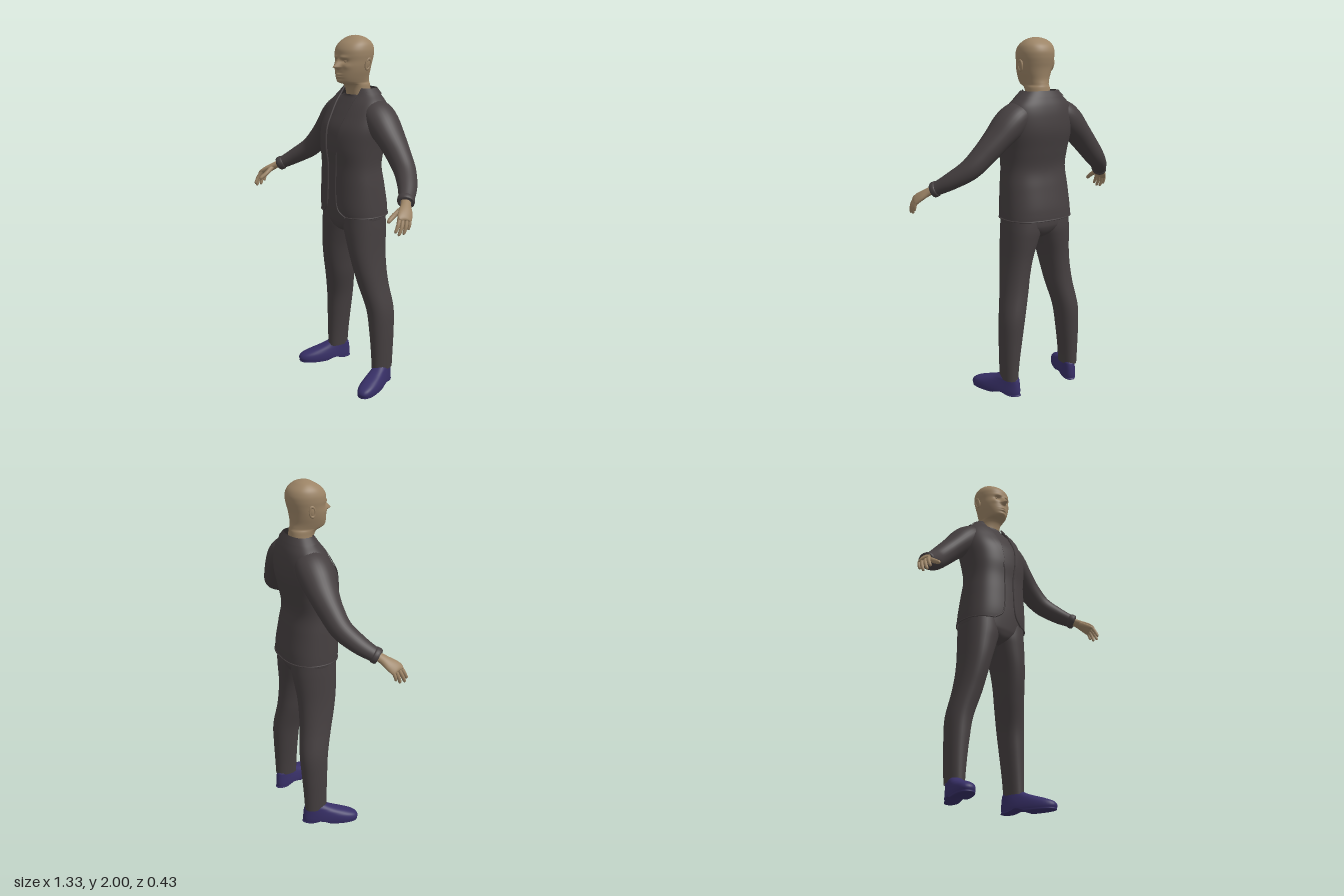
import * as THREE from 'three';

const skin = new THREE.MeshStandardMaterial({ color: 0x9c8466 });
skin.name = 'skin';
const cloth = new THREE.MeshStandardMaterial({ color: 0x453f40, side: THREE.DoubleSide });
cloth.name = 'charcoalCloth';
const leather = new THREE.MeshStandardMaterial({ color: 0x372f66, side: THREE.DoubleSide });
leather.name = 'purpleLeather';

// Smooth interpolation through rows of numbers, v from 0 to 1
function sample(rows, v) {
  const n = rows.length - 1;
  const f = THREE.MathUtils.clamp(v, 0, 1) * n;
  const i = Math.min(Math.floor(f), n - 1), t = f - i;
  const a = rows[Math.max(i - 1, 0)], b = rows[i], c = rows[i + 1], d = rows[Math.min(i + 2, n)];
  return b.map((q, k) => q + 0.5 * t * (c[k] - a[k] + t * (2 * a[k] - 5 * q + 4 * c[k] - d[k]
    + t * (3 * (q - c[k]) + d[k] - a[k]))));
}

// Surface from a point rule; u runs round, v runs along
function surface(nu, nv, closed, point) {
  const pos = [], idx = [], cols = closed ? nu : nu + 1;
  for (let j = 0; j <= nv; j++)
    for (let i = 0; i < cols; i++) pos.push(...point(i / nu, j / nv));
  for (let j = 0; j < nv; j++)
    for (let i = 0; i < nu; i++) {
      const k = (i + 1) % cols;
      const a = j * cols + i, b = j * cols + k, c = b + cols, d = a + cols;
      idx.push(a, b, c, a, c, d);
    }
  const g = new THREE.BufferGeometry();
  g.setAttribute('position', new THREE.Float32BufferAttribute(pos, 3));
  g.setIndex(idx);
  g.computeVertexNormals();
  return g;
}

// Level cross-section from a row [y, xCentre, xRadius, zFront, zBack]; angle 0 is the front
const power = (s, p) => Math.sign(s) * Math.abs(s) ** (2 / p);
function ringPoint(r, angle, p, off = 0) {
  return [r[1] + (Math.max(r[2], 0.001) + off) * power(Math.sin(angle), p), r[0],
    (r[3] + r[4]) / 2 + (Math.max(r[3] - r[4], 0.002) / 2 + off) * power(Math.cos(angle), p)];
}
const rings = (rows, p, nu, nv, off = 0, deform = (q) => q) =>
  surface(nu, nv, true, (u, v) => deform(ringPoint(sample(rows, v), u * Math.PI * 2, p, off)));

// Limb along a path of rows [x, y, z, radiusAcross, radiusTowardsFront]
function limb(rows, nu, nv, roundTip = false) {
  return surface(nu, nv, true, (u, v) => {
    const r = sample(rows, v);
    const T = new THREE.Vector3(...sample(rows, v + 0.01)).sub(new THREE.Vector3(...sample(rows, v - 0.01))).normalize();
    const B = new THREE.Vector3(0, 0, 1).addScaledVector(T, -T.z).normalize();
    const N = B.clone().cross(T);
    const k = roundTip ? Math.sqrt(Math.max(0.0005, 1 - Math.max(0, (v - 0.8) / 0.2) ** 2)) : 1;
    const a = u * Math.PI * 2;
    return new THREE.Vector3(r[0], r[1], r[2]).addScaledVector(N, Math.cos(a) * r[3] * k)
      .addScaledVector(B, Math.sin(a) * r[4] * k).toArray();
  });
}

function mirrored(geometry) {
  const g = geometry.clone();
  g.scale(-1, 1, 1);
  const ix = g.index.array;
  for (let i = 0; i < ix.length; i += 3) [ix[i], ix[i + 1]] = [ix[i + 1], ix[i]];
  g.computeVertexNormals();
  return g;
}

export function createModel() {
  const model = new THREE.Group();
  model.name = 'standingMan';
  const add = (name, geometry, material) => {
    const m = new THREE.Mesh(geometry, material);
    m.name = name;
    model.add(m);
  };
  const pair = (name, geometry, material) => {
    add(name + 'Left', geometry, material);
    add(name + 'Right', mirrored(geometry), material);
  };

  // Head and neck, with the face shaped by soft bumps
  const bump = (d, w) => Math.exp(-((d / w) ** 2));
  const face = ([x, y, z]) => {
    if (z > -0.03 && y > 1.74) {
      const ax = Math.abs(x);
      const nose = y > 1.836 ? THREE.MathUtils.clamp((1.885 - y) / 0.049, 0, 1)
        : THREE.MathUtils.clamp((y - 1.82) / 0.016, 0, 1);
      z += 0.04 * nose * bump(x, 0.009 + 0.006 * nose);
      z += 0.007 * bump(y - 1.887, 0.009) * bump(ax - 0.032, 0.025);
      z -= 0.013 * bump(y - 1.867, 0.011) * bump(ax - 0.033, 0.017);
      z += 0.005 * bump(y - 1.84, 0.015) * bump(ax - 0.055, 0.018);
      z += 0.008 * (bump(y - 1.796, 0.005) + bump(y - 1.783, 0.005)) * bump(x, 0.022);
      z += 0.006 * bump(y - 1.761, 0.009) * bump(x, 0.025);
    }
    return [x, y, z];
  };
  add('headAndNeck', rings([
    [1.63, 0, 0.078, -0.03, -0.155], [1.70, 0, 0.066, -0.018, -0.152], [1.735, 0, 0.065, 0.0, -0.15],
    [1.748, 0, 0.064, 0.033, -0.147], [1.758, 0, 0.067, 0.047, -0.145], [1.78, 0, 0.075, 0.053, -0.142],
    [1.81, 0, 0.085, 0.054, -0.145], [1.84, 0, 0.092, 0.052, -0.15], [1.87, 0, 0.096, 0.049, -0.158],
    [1.9, 0, 0.1, 0.05, -0.164], [1.93, 0, 0.099, 0.045, -0.164], [1.96, 0, 0.088, 0.023, -0.15],
    [1.985, 0, 0.062, -0.015, -0.118], [1.996, 0, 0.03, -0.04, -0.09], [2.0, 0, 0.002, -0.064, -0.068],
  ], 2.15, 96, 112, 0, face), skin);
  pair('eye', new THREE.SphereGeometry(0.012, 16, 10).scale(1.15, 0.65, 1).translate(0.033, 1.866, 0.026), skin);
  const placeEar = (g) => g.rotateX(-0.2).rotateZ(-0.12).translate(0.099, 1.852, -0.068);
  pair('ear', placeEar(new THREE.SphereGeometry(1, 16, 12).scale(0.008, 0.031, 0.018)), skin);
  pair('earRim', placeEar(new THREE.TorusGeometry(0.016, 0.0045, 8, 24).rotateY(Math.PI / 2)
    .scale(1, 1.75, 1).translate(0.005, 0, 0)), skin);

  // Jacket body, open at the front; the last number is the half width of the opening
  const jacket = [
    [1.02, 0, 0.206, 0.098, -0.216, 0.1], [1.05, 0, 0.205, 0.102, -0.215, 0.058], [1.1, 0, 0.202, 0.104, -0.21, 0.04],
    [1.2, 0, 0.195, 0.102, -0.192, 0.034], [1.3, 0, 0.187, 0.1, -0.175, 0.035], [1.4, 0, 0.195, 0.106, -0.192, 0.045],
    [1.5, 0, 0.208, 0.092, -0.212, 0.056], [1.58, 0, 0.205, 0.052, -0.21, 0.065], [1.64, 0, 0.185, 0.015, -0.198, 0.072],
    [1.685, 0, 0.14, -0.018, -0.18, 0.075], [1.72, 0, 0.103, -0.036, -0.163, 0.076],
  ];
  const P = 2.4;
  const edgeAngle = (r) => Math.asin(Math.min(1, (r[5] / r[2]) ** (P / 2)));
  const wrap = (v, u, off) => {
    const r = sample(jacket, v), e = edgeAngle(r);
    return ringPoint(r, e + u * (2 * Math.PI - 2 * e), P, off);
  };
  add('jacketBody', surface(80, 60, false, (u, v) => wrap(v, u, 0)), cloth);
  add('jacketCollar', surface(64, 6, false, (u, v) => wrap(0.91 + 0.09 * v, u, 0.007)), cloth);
  pair('lapel', surface(8, 30, false, (u, s) => {
    const r = sample(jacket, 0.45 + 0.52 * s);
    return ringPoint(r, edgeAngle(r) + u * 0.42 * Math.min(1, s * 1.4), P, 0.007);
  }), cloth);
  const edge = [], hem = [];
  for (let i = 0; i <= 30; i++) {
    edge.push(new THREE.Vector3(...wrap(i / 30, 0, 0)));
    hem.push(new THREE.Vector3(...wrap(0, i / 30, 0)));
  }
  pair('jacketFrontEdge', new THREE.TubeGeometry(new THREE.CatmullRomCurve3(edge), 60, 0.005, 6), cloth);
  add('jacketHem', new THREE.TubeGeometry(new THREE.CatmullRomCurve3(hem), 80, 0.004, 6), cloth);

  // Shirt closing up to the neck
  add('shirt', rings([...jacket.slice(2, 9).map((r) => r.slice(0, 5)),
    [1.672, 0, 0.12, -0.005, -0.175], [1.685, 0, 0.085, -0.008, -0.168]], P, 64, 48, -0.01), cloth);

  // Sleeves
  pair('sleeve', limb([
    [0.08, 1.6, -0.097, 0.07, 0.075], [0.15, 1.582, -0.095, 0.08, 0.095], [0.205, 1.535, -0.093, 0.083, 0.097],
    [0.27, 1.472, -0.09, 0.07, 0.085], [0.34, 1.4, -0.082, 0.064, 0.07], [0.42, 1.322, -0.06, 0.057, 0.06],
    [0.5, 1.262, -0.005, 0.046, 0.052], [0.552, 1.222, 0.048, 0.037, 0.042], [0.574, 1.206, 0.073, 0.036, 0.04],
  ], 32, 48), cloth);
  pair('cuff', limb([
    [0.555, 1.22, 0.051, 0.036, 0.042], [0.559, 1.217, 0.056, 0.041, 0.046],
    [0.572, 1.207, 0.071, 0.039, 0.044], [0.575, 1.205, 0.074, 0.025, 0.03],
  ], 28, 8), cloth);

  // Hands
  pair('palm', limb([
    [0.555, 1.222, 0.052, 0.02, 0.026], [0.59, 1.198, 0.086, 0.02, 0.028], [0.62, 1.174, 0.115, 0.018, 0.038],
    [0.642, 1.15, 0.142, 0.014, 0.04], [0.646, 1.143, 0.147, 0.003, 0.028],
  ], 24, 20), skin);
  const finger = (name, [x, y, z], [a, b, c], r, bend) => pair(name, limb([
    [x, y, z, r, r], [(x + a) / 2 + bend, (y + b) / 2, (z + c) / 2, r * 0.95, r * 0.95], [a, b, c, r * 0.75, r * 0.75],
  ], 12, 16, true), skin);
  finger('indexFinger', [0.629, 1.163, 0.163], [0.642, 1.087, 0.203], 0.0105, 0.006);
  finger('middleFinger', [0.637, 1.156, 0.148], [0.65, 1.072, 0.187], 0.0105, 0.007);
  finger('ringFinger', [0.645, 1.149, 0.13], [0.652, 1.074, 0.157], 0.0105, 0.006);
  finger('littleFinger', [0.651, 1.143, 0.114], [0.655, 1.094, 0.129], 0.009, 0.004);
  finger('thumb', [0.592, 1.19, 0.108], [0.588, 1.128, 0.205], 0.0135, -0.007);

  // Trousers: seat and legs
  add('trouserSeat', rings([
    [0.905, 0, 0.012, 0.0, -0.12], [0.93, 0, 0.07, 0.05, -0.16], [0.965, 0, 0.17, 0.068, -0.182], [1.0, 0, 0.199, 0.074, -0.187],
    [1.08, 0, 0.192, 0.078, -0.18], [1.17, 0, 0.18, 0.075, -0.16],
  ], 2.4, 48, 24), cloth);
  const leg = [
    [0.095, 0.167, 0.254, -0.035, -0.167], [0.2, 0.157, 0.258, -0.033, -0.172], [0.33, 0.14, 0.26, -0.028, -0.18],
    [0.46, 0.12, 0.255, -0.018, -0.185], [0.6, 0.085, 0.23, 0.015, -0.17], [0.7, 0.066, 0.216, 0.04, -0.165],
    [0.8, 0.043, 0.207, 0.058, -0.168], [0.9, 0.01, 0.203, 0.067, -0.18], [0.96, -0.01, 0.201, 0.07, -0.185],
    [1.03, -0.01, 0.197, 0.068, -0.18],
  ].map(([y, a, b, f, k]) => [y, (a + b) / 2, (b - a) / 2, f, k]);
  pair('trouserLeg', rings(leg, 2.2, 36, 45), cloth);

  // Shoes, turned outward, with a raised arch in front of the heel
  const shoe = rings([
    [0, 0, 0.003, 0.09, 0.08], [0, 0, 0.05, 0.232, -0.068], [0.012, 0, 0.056, 0.247, -0.075], [0.03, 0, 0.057, 0.25, -0.077],
    [0.05, 0, 0.055, 0.232, -0.076], [0.07, 0, 0.051, 0.18, -0.074], [0.088, 0, 0.047, 0.122, -0.071],
    [0.102, 0, 0.044, 0.085, -0.067], [0.117, 0, 0.036, 0.055, -0.055],
  ], 2.4, 40, 40, 0, ([x, y, z]) => {
    const lift = y < 0.02 ? 0.02 * bump(z - 0.03, 0.035) * (1 - y / 0.02) : 0;
    return [x * (0.86 + 0.9 * Math.max(0, z)) + 0.1 * Math.max(0, z) ** 2, Math.max(0, y + lift), z];
  });
  pair('shoe', shoe.rotateY(0.34).translate(0.213, 0, -0.101), leather);

  return model;
}
